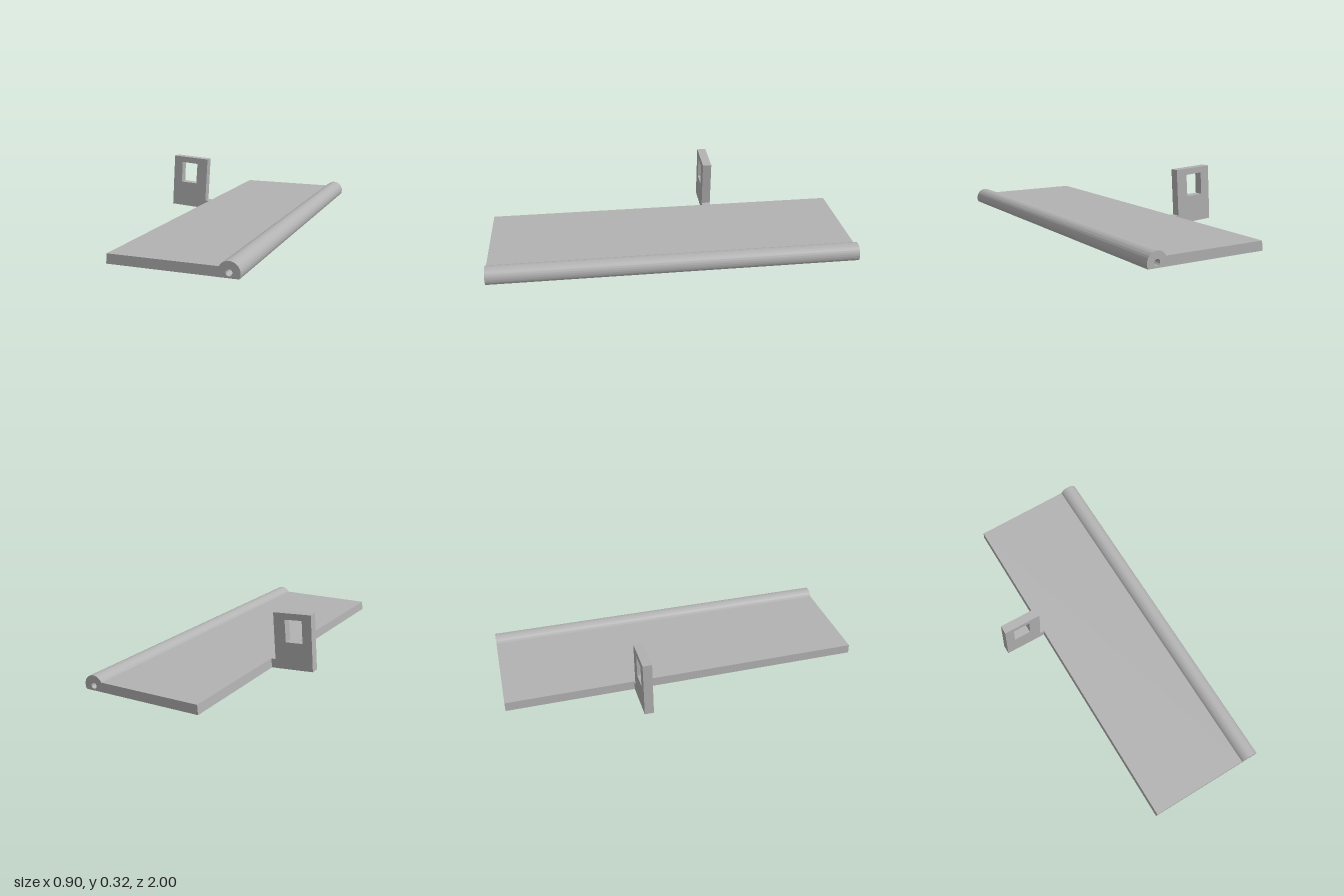
import * as THREE from 'three';
import { toCreasedNormals } from 'three/addons/utils/BufferGeometryUtils.js';

const PIN_X = 0.398, PIN_Y = 0.025, BARREL_R = 0.054, PIN_R = 0.016;

export function createModel() {
  const model = new THREE.Group();
  model.name = 'hingedFlap';
  const grey = new THREE.MeshStandardMaterial({ color: 0xb2b2b2 });
  grey.name = 'grey';

  const add = (name, geometry) => {
    const mesh = new THREE.Mesh(geometry, grey);
    mesh.name = name;
    model.add(mesh);
    return mesh;
  };
  const polygon = (points) => points.map(([x, y]) => new THREE.Vector2(x, y));
  const extrude = (shape, z0, z1) => {
    const g = new THREE.ExtrudeGeometry(shape, { depth: z1 - z0, bevelEnabled: false, curveSegments: 40 });
    g.translate(0, 0, z0);
    return toCreasedNormals(g, 0.5);
  };

  // Flat flap with the rounded hinge barrel along its left edge
  const flap = new THREE.Shape();
  const low = Math.asin(-PIN_Y / BARREL_R);
  flap.moveTo(-0.213, 0);
  flap.lineTo(PIN_X + BARREL_R * Math.cos(low), 0);
  flap.absarc(PIN_X, PIN_Y, BARREL_R, low, Math.PI + low, false);
  flap.lineTo(-0.209, 0.05);
  flap.closePath();
  const bore = new THREE.Path();
  bore.absarc(PIN_X, PIN_Y, PIN_R, 0, Math.PI * 2, true);
  flap.holes.push(bore);
  add('flap', extrude(flap, -1, 1));

  // Solid core that leaves a blind pin socket at each end
  const core = add('barrelCore', new THREE.CylinderGeometry(PIN_R, PIN_R, 1.8, 40));
  core.rotation.x = Math.PI / 2;
  core.position.set(PIN_X, PIN_Y, 0);

  // Tilted latch tab with a short neck and a square window
  const tab = new THREE.Shape(polygon([
    [-0.453, 0.016], [-0.24, 0.002], [-0.211, 0.001], [-0.208, 0.05],
    [-0.234, 0.05], [-0.218, 0.307], [-0.435, 0.32],
  ]));
  tab.holes.push(new THREE.Path(polygon([
    [-0.391, 0.16], [-0.384, 0.283], [-0.285, 0.276], [-0.294, 0.154],
  ])));
  add('latchTab', extrude(tab, -0.293, -0.243));

  return model;
}
